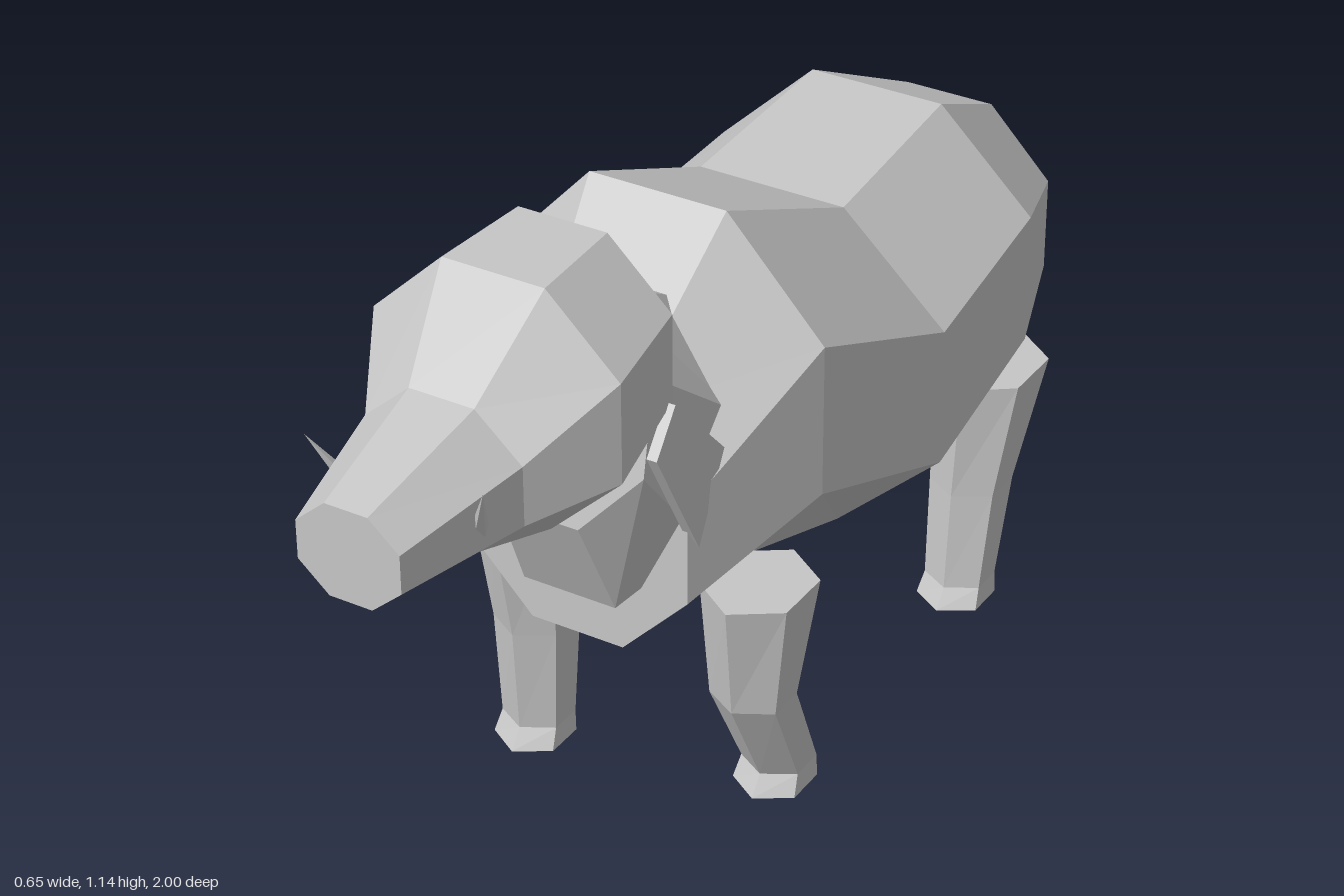
import * as THREE from 'three';

// Joins cross-sections (arrays of Vector3, counter-clockwise about the loft direction) and caps both ends
function loft(rings) {
  const pos = [];
  const tri = (a, b, c) => pos.push(...a.toArray(), ...b.toArray(), ...c.toArray());
  const n = rings[0].length;
  for (let r = 0; r < rings.length - 1; r++) {
    const A = rings[r], B = rings[r + 1];
    for (let i = 0; i < n; i++) {
      const j = (i + 1) % n;
      tri(A[i], A[j], B[j]);
      tri(A[i], B[j], B[i]);
    }
  }
  const first = rings[0], last = rings[rings.length - 1];
  for (let i = 1; i < n - 1; i++) {
    tri(first[0], first[i + 1], first[i]);
    tri(last[0], last[i], last[i + 1]);
  }
  const geo = new THREE.BufferGeometry();
  geo.setAttribute('position', new THREE.Float32BufferAttribute(pos, 3));
  geo.computeVertexNormals();
  return geo;
}

// Ring with flat top and bottom: half width, lowest point and highest point as [y, z]
function ring(half, [y0, z0], [y1, z1], n = 8) {
  const k = Math.cos(Math.PI / n);
  const out = [];
  for (let i = 0; i < n; i++) {
    const a = (i + 0.5) * 2 * Math.PI / n;
    const t = 0.5 + 0.5 * Math.sin(a) / k;
    out.push(new THREE.Vector3(half * Math.cos(a) / k, y0 + (y1 - y0) * t, z0 + (z1 - z0) * t));
  }
  return out;
}
const upright = (list) => list.map(([z, half, bottom, top]) => ring(half, [bottom, z], [top, z]));

// Horizontal six-sided ring with corners pointing forward and back
function legRing(y, x, half, zFront, zBack) {
  const out = [];
  for (let i = 0; i < 6; i++) {
    const a = Math.PI / 6 + i * Math.PI / 3;
    out.push(new THREE.Vector3(x + half * Math.cos(a) / 0.866, y,
      (zFront + zBack) / 2 - (zFront - zBack) / 2 * Math.sin(a)));
  }
  return out;
}

export function createModel() {
  const model = new THREE.Group();
  const grey = new THREE.MeshStandardMaterial({ color: 0xc6c6c6 });
  grey.name = 'grey hide';
  grey.flatShading = true;
  const add = (name, geo) => {
    const mesh = new THREE.Mesh(geo, grey);
    mesh.name = name;
    model.add(mesh);
    return mesh;
  };

  // Barrel body, rump to chest: z, half width, bottom, top
  add('body', loft(upright([
    [-0.80, 0.20, 0.40, 0.81],
    [-0.53, 0.30, 0.37, 0.94],
    [-0.18, 0.325, 0.31, 0.91],
    [0.17, 0.30, 0.42, 1.065],
    [0.42, 0.205, 0.388, 0.815],
  ])));

  // Tilted neck
  add('neck', loft([
    ring(0.205, [0.475, 0.44], [0.92, 0.21]),
    ring(0.18, [0.665, 0.525], [1.055, 0.45]),
  ]));

  // Head and snout
  add('head', loft(upright([
    [0.435, 0.19, 0.78, 1.14],
    [0.62, 0.217, 0.727, 1.14],
    [0.76, 0.138, 0.755, 1.0],
    [1.0, 0.09, 0.785, 0.942],
  ])));

  // Drooping tail
  add('tail', loft([
    ring(0.014, [0.54, -1.0], [0.575, -1.0], 6),
    ring(0.034, [0.60, -0.91], [0.68, -0.91], 6),
    ring(0.045, [0.655, -0.79], [0.765, -0.79], 6),
  ]));

  // Ear outline: x, y, z
  const ear = [[0.195, 0.89, 0.45], [0.205, 0.83, 0.52], [0.205, 0.61, 0.40], [0.22, 0.77, 0.35]];
  for (const s of [1, -1]) {
    const side = s > 0 ? 'left' : 'right';
    const plate = (dx) => ear.map(([x, y, z]) => new THREE.Vector3(s * x + dx, y, z));
    add(side + 'Ear', loft([plate(-0.009), plate(0.009)]));

    // Tusk pointing up and outward
    const base = new THREE.Vector3(s * 0.112, 0.855, 0.835);
    const dir = new THREE.Vector3(s * 0.155, 0.957, 0.885).sub(base);
    const tusk = add(side + 'Tusk', new THREE.ConeGeometry(0.014, dir.length(), 5));
    tusk.position.copy(base).addScaledVector(dir, 0.5);
    tusk.quaternion.setFromUnitVectors(new THREE.Vector3(0, 1, 0), dir.clone().normalize());
  }

  // Legs from hoof to hip; each row holds the front and back z of one ring
  const heights = [0, 0.035, 0.23, 0.445];
  const halves = [0.059, 0.054, 0.062, 0.08];
  const centres = [0.211, 0.211, 0.211, 0.219];
  const legs = [
    ['frontLeftLeg', 1, 0.015, [[0.23, 0.08], [0.205, 0.08], [0.297, 0.16], [0.33, 0.115]]],
    ['frontRightLeg', -1, 0, [[0.31, 0.165], [0.285, 0.165], [0.297, 0.15], [0.33, 0.115]]],
    ['backLeftLeg', 1, 0.012, [[-0.41, -0.555], [-0.435, -0.555], [-0.45, -0.60], [-0.457, -0.69]]],
    ['backRightLeg', -1, 0.012, [[-0.49, -0.64], [-0.515, -0.64], [-0.53, -0.685], [-0.457, -0.69]]],
  ];
  for (const [name, s, lift, spans] of legs) {
    add(name, loft(spans.map(([front, back], i) =>
      legRing(heights[i] + (i < 2 ? lift : 0), s * centres[i], halves[i], front, back))));
  }
  return model;
}
